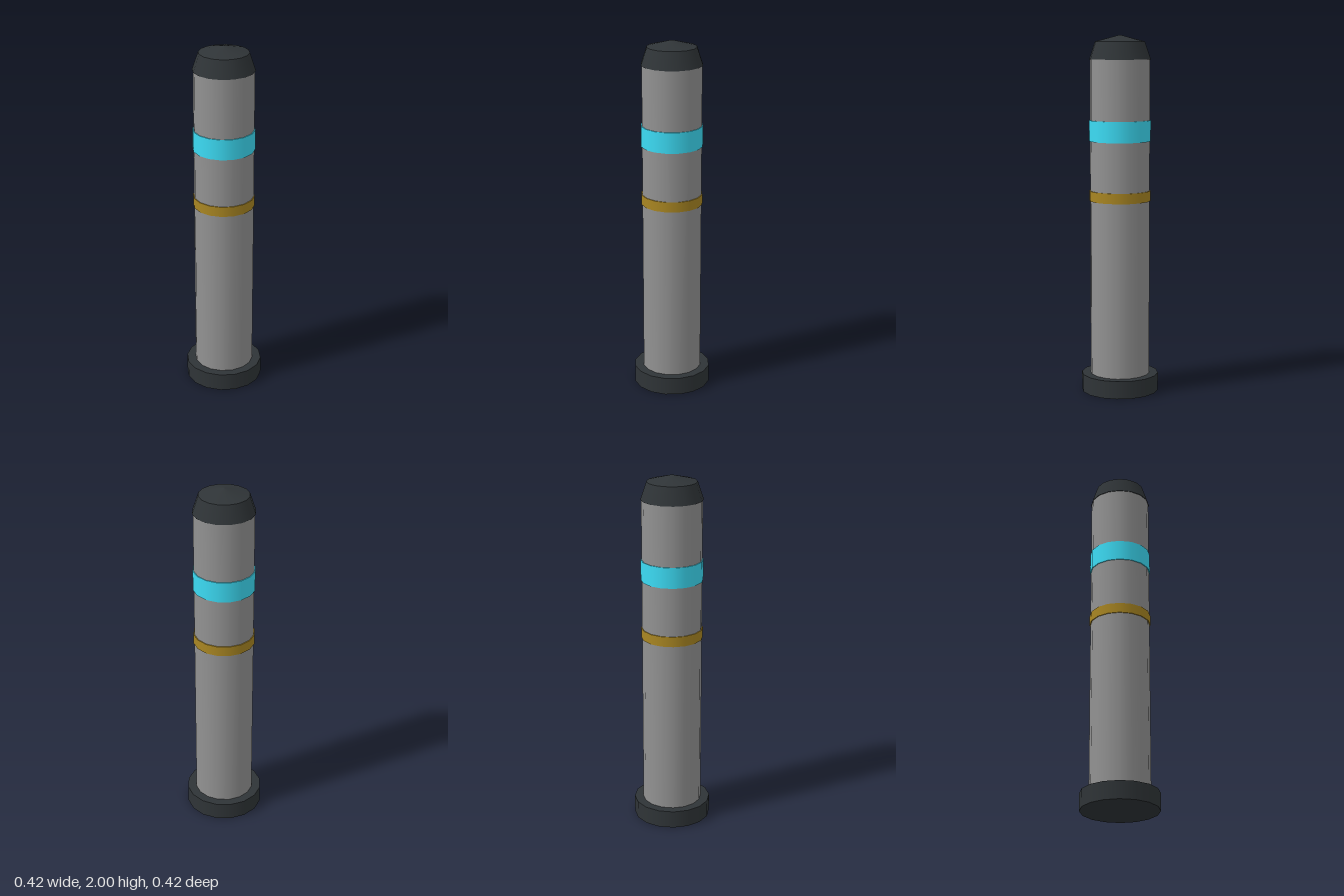
import * as THREE from 'three';

const SIDES = 16;
const HALF = Math.PI / SIDES; // half a side, so flats face the axes

export function createModel() {
  const group = new THREE.Group();
  group.name = 'bollard';

  const dark = new THREE.MeshStandardMaterial({ color: 0x2f3437 });
  const grey = new THREE.MeshStandardMaterial({ color: 0x929292 });
  const cyan = new THREE.MeshStandardMaterial({ color: 0x3cdcf5 });
  const amber = new THREE.MeshStandardMaterial({ color: 0xa98622 });

  // Upright 16-sided section from y0 to y1; radii are measured to the flats
  function section(name, bottom, top, y0, y1, material, open = false) {
    const k = 1 / Math.cos(HALF);
    const geometry = new THREE.CylinderGeometry(top * k, bottom * k, y1 - y0, SIDES, 1, open, HALF);
    const mesh = new THREE.Mesh(geometry, material);
    mesh.name = name;
    mesh.position.y = (y0 + y1) / 2;
    group.add(mesh);
  }

  // Foot and post
  section('base', 0.212, 0.212, 0, 0.1, dark);
  section('post', 0.163, 0.163, 0.05, 1.868, grey);

  // Coloured bands around the post
  section('lowerBand', 0.168, 0.168, 1.083, 1.14, amber);
  section('upperBand', 0.168, 0.168, 1.416, 1.532, cyan);

  // Tapered cap with a shallow cone on top
  section('cap', 0.167, 0.135, 1.866, 1.964, dark);
  section('capTip', 0.135, 0, 1.964, 2, dark, true);

  return group;
}
